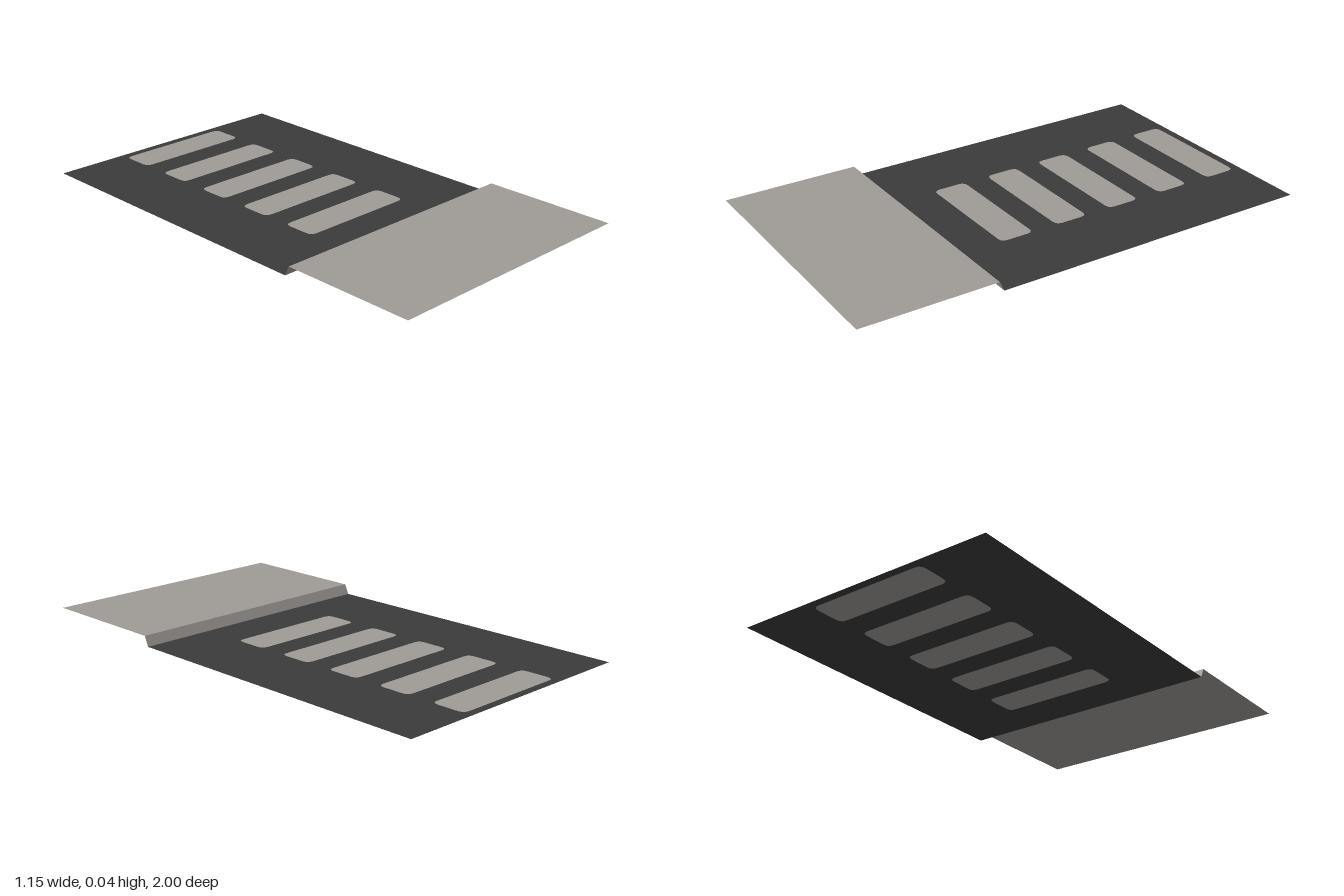
import * as THREE from 'three';

const HALF_WIDTH = 0.573;
const BACK = -1, FRONT = 1;
const CURB_FOOT = 0.405, CURB_TOP = 0.424, CURB_HEIGHT = 0.042;

const concrete = new THREE.MeshStandardMaterial({ color: 0x9f9a96, side: THREE.DoubleSide });
concrete.name = 'concreteGrey';
const asphalt = new THREE.MeshStandardMaterial({ color: 0x3b3b3b, side: THREE.DoubleSide });
asphalt.name = 'asphaltDark';

// Rectangle with small rounded corners; shape y is -z in the model
function stripeOutline(path, z) {
  const w = 0.26, h = 0.0735, r = 0.028, y = -z;
  path.moveTo(-w + r, y - h);
  path.lineTo(w - r, y - h);
  path.quadraticCurveTo(w, y - h, w, y - h + r);
  path.lineTo(w, y + h - r);
  path.quadraticCurveTo(w, y + h, w - r, y + h);
  path.lineTo(-w + r, y + h);
  path.quadraticCurveTo(-w, y + h, -w, y + h - r);
  path.lineTo(-w, y - h + r);
  path.quadraticCurveTo(-w, y - h, -w + r, y - h);
  return path;
}

function flatMesh(shape, material, name) {
  const geometry = new THREE.ShapeGeometry(shape, 3).rotateX(-Math.PI / 2);
  const mesh = new THREE.Mesh(geometry, material);
  mesh.name = name;
  return mesh;
}

// Full-width sheet between two (z, y) edges, back edge first
function sheet(z0, y0, z1, y1, name) {
  const geometry = new THREE.PlaneGeometry(2 * HALF_WIDTH, Math.hypot(z1 - z0, y1 - y0));
  geometry.rotateX(-Math.PI / 2 - Math.atan2(y1 - y0, z1 - z0));
  geometry.translate(0, (y0 + y1) / 2, (z0 + z1) / 2);
  const mesh = new THREE.Mesh(geometry, concrete);
  mesh.name = name;
  return mesh;
}

export function createModel() {
  const model = new THREE.Group();
  model.name = 'crosswalkSection';

  // Road surface, cut out where the crossing stripes are inlaid
  const roadShape = new THREE.Shape([
    new THREE.Vector2(-HALF_WIDTH, -CURB_FOOT),
    new THREE.Vector2(HALF_WIDTH, -CURB_FOOT),
    new THREE.Vector2(HALF_WIDTH, -BACK),
    new THREE.Vector2(-HALF_WIDTH, -BACK),
  ]);
  const stripes = new THREE.Group();
  stripes.name = 'crossingStripes';
  for (let i = 0; i < 5; i++) {
    const z = -0.892 + i * 0.2585;
    roadShape.holes.push(stripeOutline(new THREE.Path(), z));
    stripes.add(flatMesh(stripeOutline(new THREE.Shape(), z), concrete, `stripe${i + 1}`));
  }
  model.add(flatMesh(roadShape, asphalt, 'road'), stripes);

  // Slanted curb face and raised pavement
  model.add(sheet(CURB_FOOT, 0, CURB_TOP, CURB_HEIGHT, 'curb'));
  model.add(sheet(CURB_TOP, CURB_HEIGHT, FRONT, CURB_HEIGHT, 'pavement'));
  return model;
}
